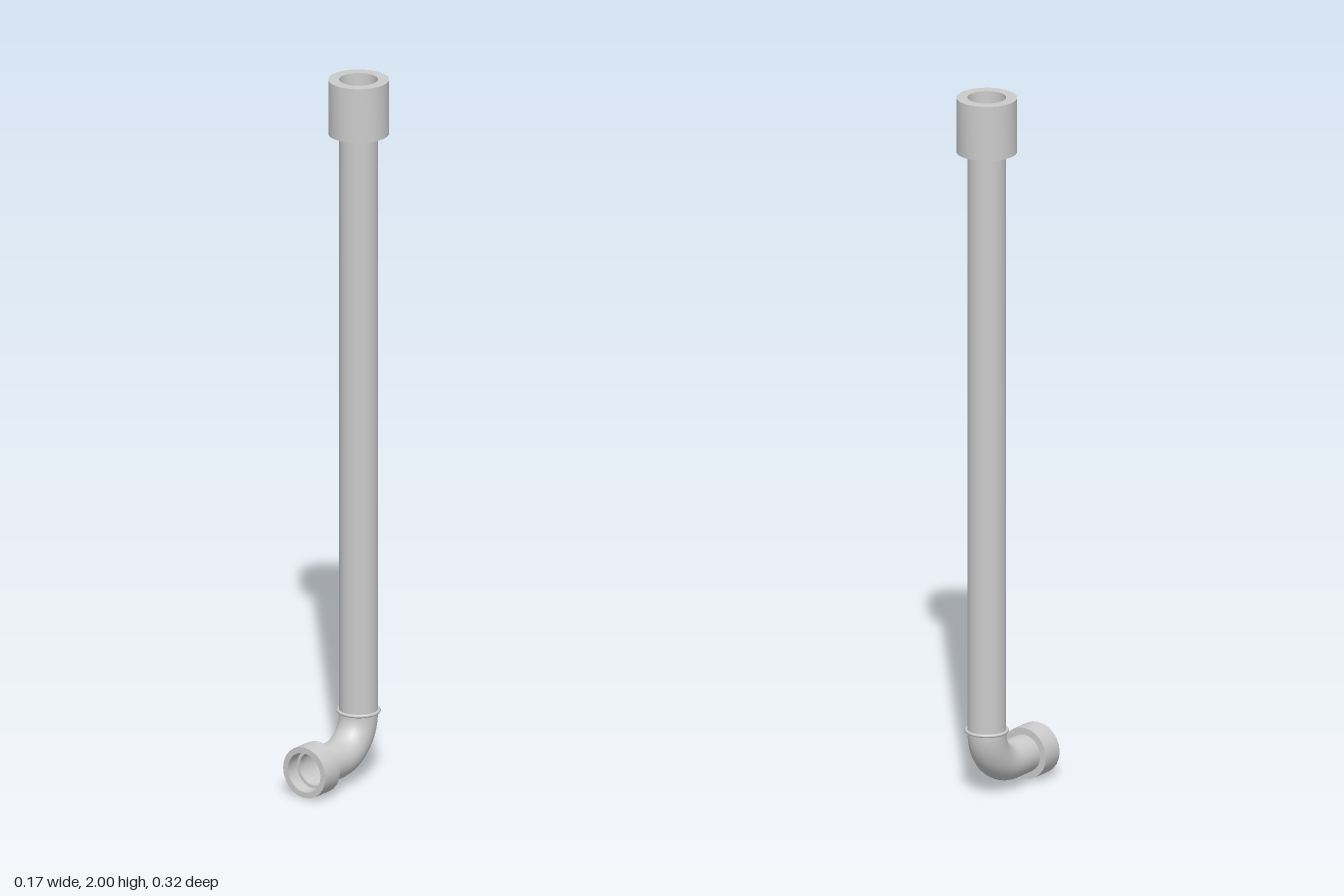
import * as THREE from 'three';
import { toCreasedNormals } from 'three/addons/utils/BufferGeometryUtils.js';

const SIDES = 24;
const PIPE = 0.053;      // pipe radius
const RISER_Z = -0.079;  // axis of the upright pipe
const OUTLET_Y = 0.073;  // axis of the horizontal outlet
const BEND = 0.11;       // centreline radius of the elbow
const BEND_Y = OUTLET_Y + BEND;
const BEND_Z = RISER_Z + BEND;

export function createModel() {
  const model = new THREE.Group();
  const solid = new THREE.MeshStandardMaterial({ color: 0xcccccc });
  const open = new THREE.MeshStandardMaterial({ color: 0xcccccc, side: THREE.DoubleSide });

  const add = (name, geometry, material) => {
    const mesh = new THREE.Mesh(geometry, material);
    mesh.name = name;
    model.add(mesh);
    return mesh;
  };

  // Open thin pipe from 0 to length along +y
  const pipe = (length) =>
    new THREE.CylinderGeometry(PIPE, PIPE, length, SIDES, 1, true).translate(0, length / 2, 0);

  // Ring turned from a closed [radius, height] profile, with crisp edges
  const turned = (profile) => toCreasedNormals(
    new THREE.LatheGeometry([...profile, profile[0]].map(([r, y]) => new THREE.Vector2(r, y)), SIDES),
    Math.PI / 5);

  // Upright pipe
  add('riserPipe', pipe(1.99 - BEND_Y), open).position.set(0, BEND_Y, RISER_Z);

  // Socket at the top
  add('topSocket', turned([[PIPE, 0], [0.083, 0], [0.083, 0.155], [PIPE, 0.155]]), solid)
    .position.set(0, 1.845, RISER_Z);

  // Raised bead where the riser meets the elbow
  add('jointBead', new THREE.TorusGeometry(0.056, 0.005, 8, SIDES).rotateX(Math.PI / 2), solid)
    .position.set(0, 0.188, RISER_Z);

  // Quarter-turn elbow
  add('elbow', new THREE.TorusGeometry(BEND, PIPE, SIDES, 16, Math.PI / 2)
    .rotateZ(-Math.PI / 2).rotateY(Math.PI / 2), open)
    .position.set(0, BEND_Y, BEND_Z);

  // Short outlet pipe towards the front
  add('outletPipe', pipe(0.115 - BEND_Z).rotateX(Math.PI / 2), open)
    .position.set(0, OUTLET_Y, BEND_Z);

  // Outlet collar with a stepped bore
  add('outletCollar', turned([
    [0.047, 0], [0.0725, 0], [0.0725, 0.065], [0.056, 0.065], [0.056, 0.025], [0.047, 0.025],
  ]).rotateX(Math.PI / 2), solid).position.set(0, OUTLET_Y, 0.097);

  return model;
}
